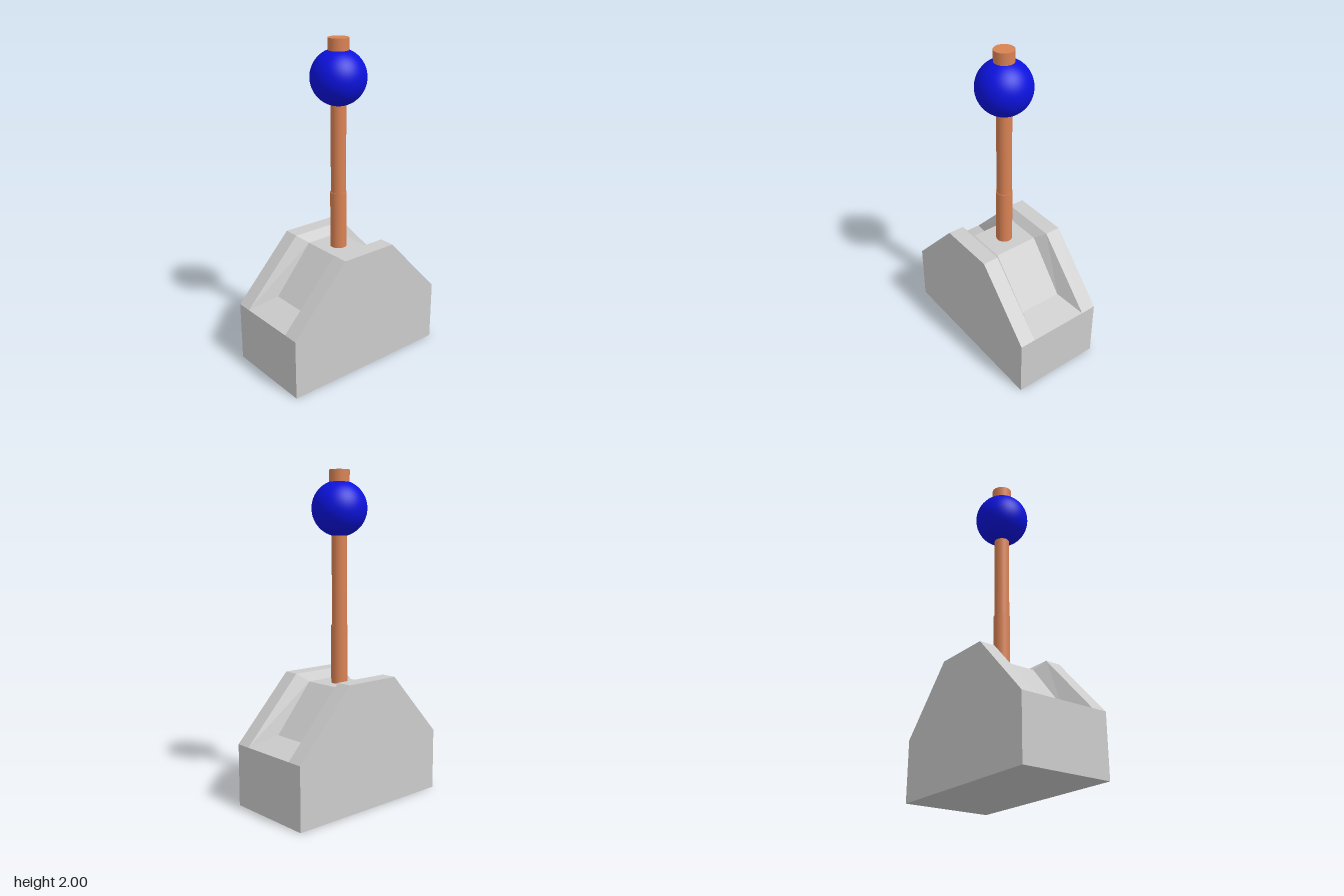
import * as THREE from 'three';

const copper = new THREE.MeshStandardMaterial({ color: 0xd98254 });
const blue = new THREE.MeshStandardMaterial({ color: 0x0c12dd });
const grey = new THREE.MeshStandardMaterial({ color: 0xcccccc, flatShading: true });

// [z, y] stations from front to back: raised side rims and the sunken channel floor
const RIM = [[0.554, 0.38], [0.185, 0.775], [-0.185, 0.775], [-0.554, 0.38]];
const FLOOR = [[0.367, 0.43], [0.121, 0.725], [-0.121, 0.725], [-0.367, 0.43]];
const OUTER = 0.288, EDGE = 0.189, INNER = 0.142;

function createBase() {
  const pos = [];
  // Corners are given counter-clockwise as seen from outside
  const quad = (a, b, c, d) => pos.push(...a, ...b, ...c, ...a, ...c, ...d);
  const at = (x, [z, y]) => [x, y, z];

  // Rims, channel walls and channel floor as strips running front to back
  const rows = RIM.map((r, i) => [
    at(-OUTER, r), at(-EDGE, r), at(-INNER, FLOOR[i]),
    at(INNER, FLOOR[i]), at(EDGE, r), at(OUTER, r),
  ]);
  for (let k = 0; k < 3; k++) {
    for (let j = 0; j < 5; j++) {
      quad(rows[k][j], rows[k][j + 1], rows[k + 1][j + 1], rows[k + 1][j]);
    }
  }

  // Sloping ledges at both ends of the channel
  const [front, back] = [rows[0], rows[3]];
  quad(front[1], front[4], front[3], front[2]);
  quad(back[4], back[1], back[2], back[3]);

  // End walls and underside
  const f = [RIM[0][0], 0], b = [RIM[3][0], 0];
  quad(at(-OUTER, f), at(OUTER, f), front[5], front[0]);
  quad(at(OUTER, b), at(-OUTER, b), back[0], back[5]);
  quad(at(-OUTER, b), at(OUTER, b), at(OUTER, f), at(-OUTER, f));

  // Six-cornered side walls
  for (const side of [1, -1]) {
    for (const profile of [[f, b, RIM[3], RIM[0]], [RIM[0], RIM[3], RIM[2], RIM[1]]]) {
      const corners = profile.map((p) => at(side * OUTER, p));
      if (side < 0) corners.reverse();
      quad(...corners);
    }
  }

  const geometry = new THREE.BufferGeometry();
  geometry.setAttribute('position', new THREE.Float32BufferAttribute(pos, 3));
  geometry.computeVertexNormals();
  const mesh = new THREE.Mesh(geometry, grey);
  mesh.name = 'base';
  return mesh;
}

// Upright round bar between two heights
function bar(name, radius, y0, y1) {
  const mesh = new THREE.Mesh(new THREE.CylinderGeometry(radius, radius, y1 - y0, 32), copper);
  mesh.position.y = (y0 + y1) / 2;
  mesh.name = name;
  return mesh;
}

export function createModel() {
  const group = new THREE.Group();
  group.name = 'lever';

  const knob = new THREE.Mesh(new THREE.SphereGeometry(0.166, 48, 32), blue);
  knob.position.y = 1.775;
  knob.name = 'knob';

  group.add(
    createBase(),
    bar('lowerRod', 0.05, 0.7, 1.08),
    bar('upperRod', 0.046, 1.08, 1.7),
    knob,
    bar('topCap', 0.061, 1.8, 2),
  );
  return group;
}
